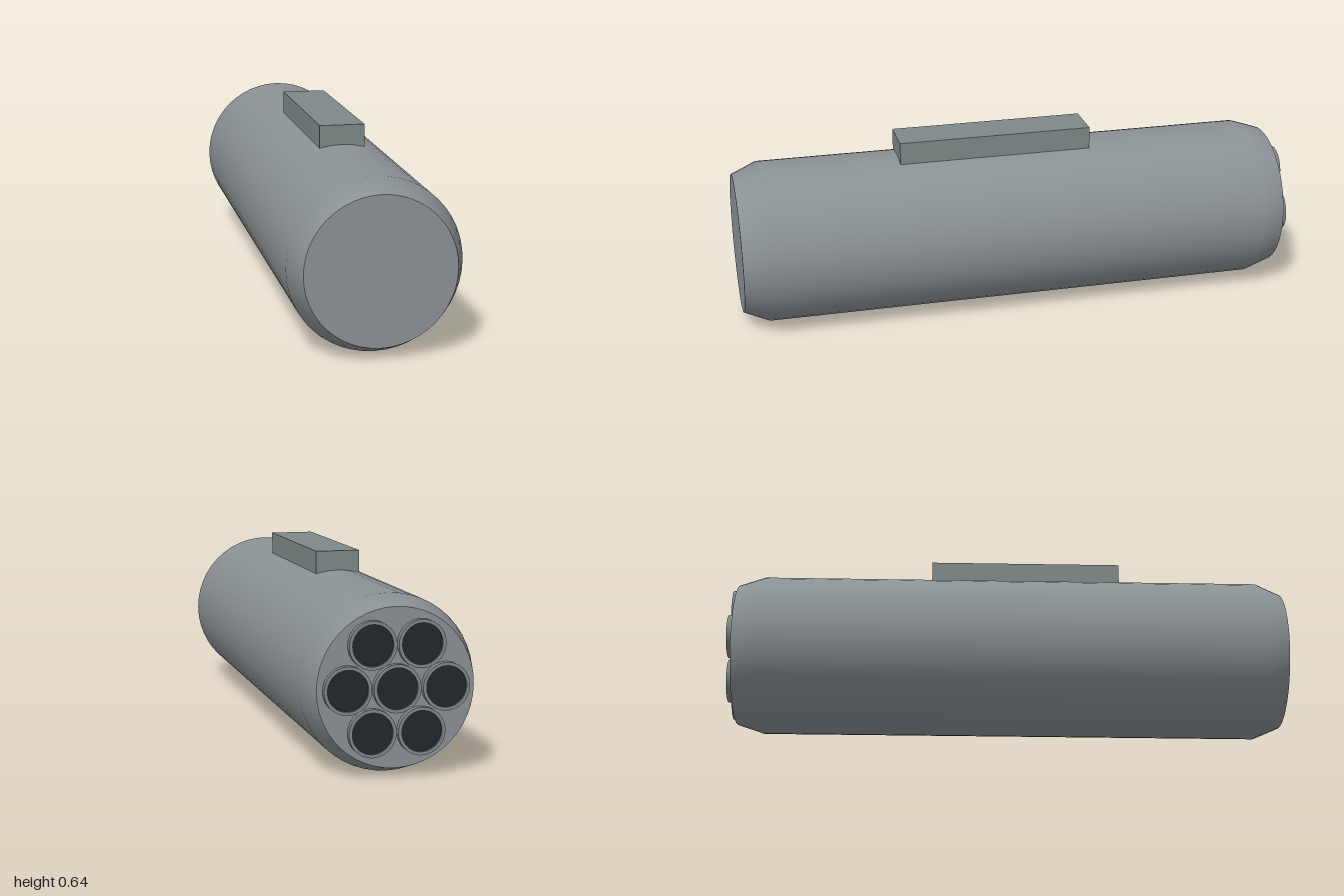
import * as THREE from 'three';

const paint = (color) => new THREE.MeshStandardMaterial({ color });

export function createModel() {
  const group = new THREE.Group();
  const shellPaint = paint(0x8a9195);
  const lugPaint = paint(0x7f8888);
  const borePaint = paint(0x22282b);
  const centreY = 0.287;

  const add = (name, geometry, material, parent, x = 0, y = 0, z = 0) => {
    const mesh = new THREE.Mesh(geometry, material);
    mesh.name = name;
    mesh.position.set(x, y, z);
    parent.add(mesh);
    return mesh;
  };
  // Lathe around the z axis from [radius, z] pairs, rear to front
  const turned = (profile, segments) => new THREE.LatheGeometry(
    profile.map(([r, z]) => new THREE.Vector2(r, z)), segments).rotateX(Math.PI / 2);

  // Cylindrical shell with tapered ends
  add('shell', turned([[0.256, -0.98], [0.287, -0.885], [0.287, 0.91], [0.248, 1]], 48),
    shellPaint, group, 0, centreY);
  add('frontCap', new THREE.CircleGeometry(0.248, 48), shellPaint, group, 0, centreY, 1);
  add('rearCap', new THREE.CircleGeometry(0.256, 48).rotateY(Math.PI), shellPaint, group, 0, centreY, -0.98);

  // Mounting rail on top
  add('mountingRail', new THREE.BoxGeometry(0.156, 0.082, 0.695), lugPaint, group, 0, 0.601, 0.068);

  // Seven tubes at the rear: one central, six around it
  const rimShape = new THREE.Shape().absarc(0, 0, 0.077, 0, Math.PI * 2);
  rimShape.holes.push(new THREE.Path().absarc(0, 0, 0.066, 0, Math.PI * 2, true));
  const rim = new THREE.ExtrudeGeometry(rimShape, { depth: 0.025, bevelEnabled: false, curveSegments: 28 });
  const bore = new THREE.CircleGeometry(0.067, 28).rotateY(Math.PI);

  for (let i = 0; i < 7; i++) {
    const angle = i * Math.PI / 3;
    const ring = i < 6 ? 0.16 : 0;
    const tube = new THREE.Group();
    tube.name = 'tube' + (i + 1);
    tube.position.set(ring * Math.cos(angle), centreY + ring * Math.sin(angle), -1);
    add('tubeRim', rim, lugPaint, tube);
    add('tubeBore', bore, borePaint, tube, 0, 0, 0.006);
    group.add(tube);
  }
  return group;
}
